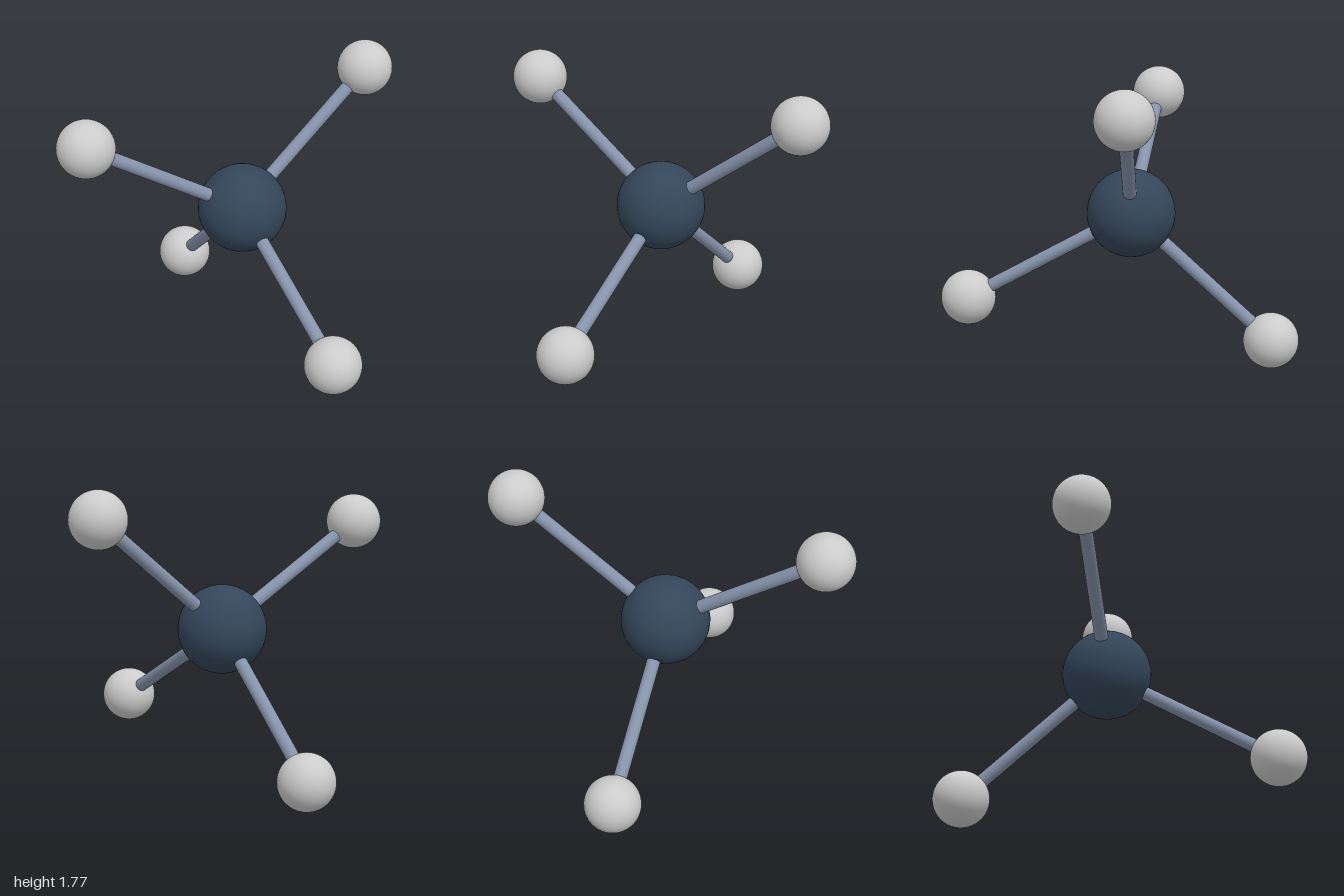
import * as THREE from 'three';

// A tetrahedral ball-and-stick molecule: one core atom, four bonds, four outer atoms.
export function createModel() {
  const group = new THREE.Group();
  const coreMat = new THREE.MeshStandardMaterial({ color: 0x34465a });
  const bondMat = new THREE.MeshStandardMaterial({ color: 0x8693ab });
  const atomMat = new THREE.MeshStandardMaterial({ color: 0xcccccc });

  const core = new THREE.Vector3(0, 0.915, -0.08);
  const outer = [
    ['upperRight', -0.834, 1.515, -0.54],
    ['upperLeft', 0.834, 1.605, 0.23],
    ['lowerFront', -0.39, 0.37, 0.834],
    ['lowerBack', 0.385, 0.166, -0.834],
  ];

  function addAtom(name, position, radius, material) {
    const atom = new THREE.Mesh(new THREE.SphereGeometry(radius, 48, 32), material);
    atom.name = name;
    atom.position.copy(position);
    group.add(atom);
  }

  // Rod running between two points
  function addBond(name, from, to) {
    const dir = to.clone().sub(from);
    const bond = new THREE.Mesh(new THREE.CylinderGeometry(0.04, 0.04, dir.length(), 24), bondMat);
    bond.name = name;
    bond.position.copy(from).add(to).multiplyScalar(0.5);
    bond.quaternion.setFromUnitVectors(new THREE.Vector3(0, 1, 0), dir.normalize());
    group.add(bond);
  }

  addAtom('coreAtom', core, 0.264, coreMat);
  for (const [name, x, y, z] of outer) {
    const position = new THREE.Vector3(x, y, z);
    addBond(name + 'Bond', core, position);
    addAtom(name + 'Atom', position, 0.166, atomMat);
  }
  return group;
}
